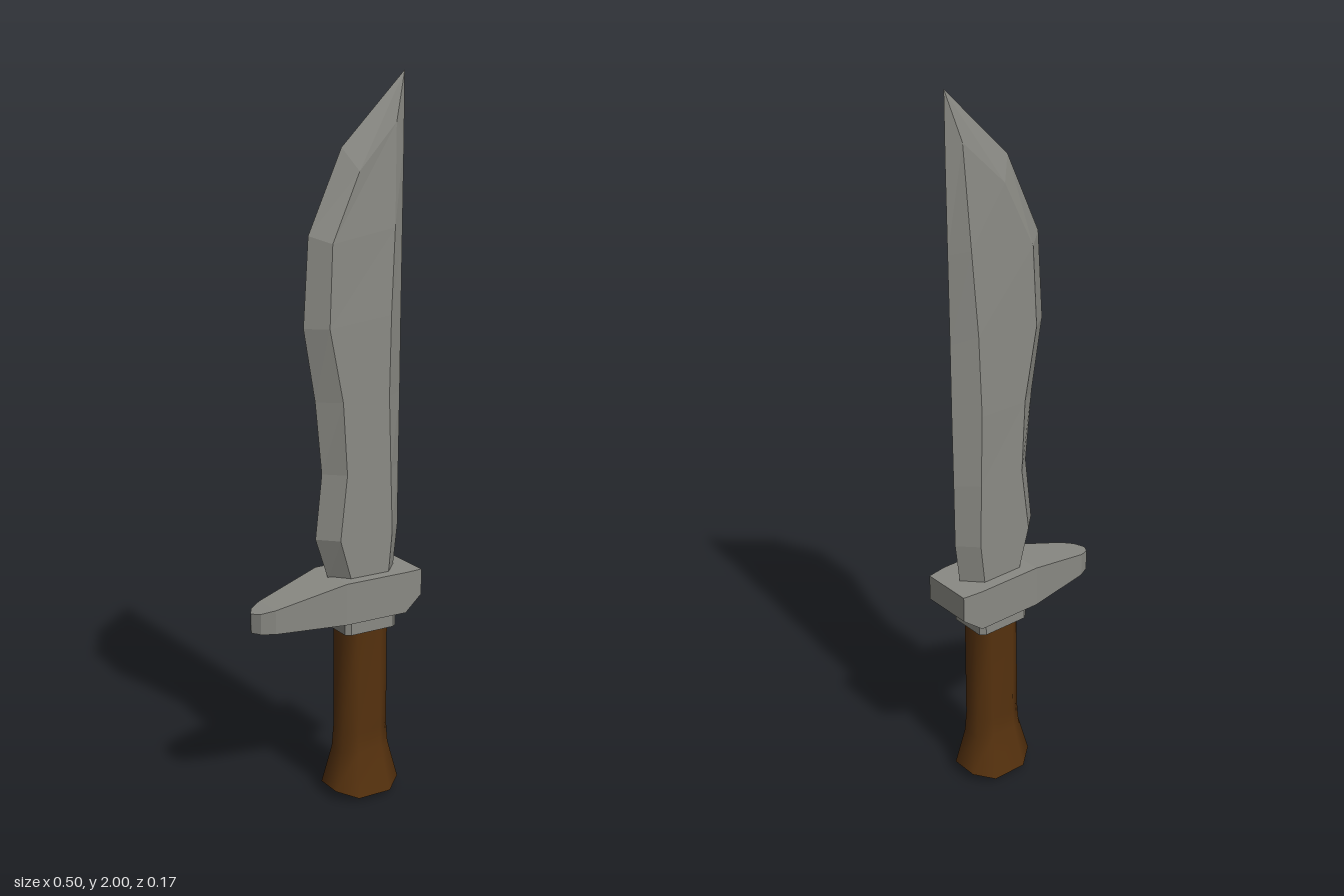
import * as THREE from 'three';

const steel = new THREE.MeshStandardMaterial({ color: 0x8a8a84 });
steel.name = 'steel';
const wood = new THREE.MeshStandardMaterial({ color: 0x55310e });
wood.name = 'brown wood';

// Skins equal-length rings of [x, y, z], counter-clockwise seen from the far end.
function loft(rings, { smooth = false, capStart = true, capEnd = true } = {}) {
  const n = rings[0].length;
  const index = [];
  for (let i = 0; i < rings.length - 1; i++) {
    for (let j = 0; j < n; j++) {
      const k = (j + 1) % n;
      const a = i * n + j, b = i * n + k, c = b + n, d = a + n;
      index.push(a, b, c, a, c, d);
    }
  }
  const last = (rings.length - 1) * n;
  for (let j = 1; j < n - 1; j++) {
    if (capStart) index.push(0, j + 1, j);
    if (capEnd) index.push(last, last + j, last + j + 1);
  }
  let geometry = new THREE.BufferGeometry();
  geometry.setAttribute('position', new THREE.Float32BufferAttribute(rings.flat(2), 3));
  geometry.setIndex(index);
  if (!smooth) geometry = geometry.toNonIndexed();
  geometry.computeVertexNormals();
  return geometry;
}

function part(name, geometry, material) {
  const mesh = new THREE.Mesh(geometry, material);
  mesh.name = name;
  return mesh;
}

const GRIP_X = 0.094;

// Chamfered rectangle around the grip axis; yAt gives the height of each corner.
function octagon(hx, hz, cut, yAt) {
  const a = hx * cut, b = hz * cut;
  return [[hx, b], [hx, -b], [a, -hz], [-a, -hz], [-hx, -b], [-hx, b], [-a, hz], [a, hz]]
    .map(([x, z]) => [GRIP_X + x, yAt(x / hx), z]);
}

function createBlade() {
  // Cutting edge, edge bevel, spine bevel and spine as [x, y], then half thickness at both bevels.
  const sections = [
    [[-0.01, 0.65], [0.035, 0.65], [0.153, 0.65], [0.2, 0.65], 0.05, 0.05],
    [[-0.05, 0.77], [0.0, 0.77], [0.165, 0.77], [0.214, 0.77], 0.049, 0.049],
    [[-0.03, 0.95], [0.022, 0.95], [0.16, 0.95], [0.215, 0.95], 0.047, 0.047],
    [[-0.05, 1.15], [0.01, 1.15], [0.154, 1.15], [0.217, 1.15], 0.045, 0.046],
    [[-0.085, 1.35], [-0.03, 1.35], [0.16, 1.37], [0.218, 1.35], 0.043, 0.043],
    [[-0.07, 1.59], [-0.02, 1.57], [0.174, 1.6], [0.22, 1.59], 0.04, 0.036],
    [[0.03, 1.81], [0.065, 1.75], [0.185, 1.87], [0.222, 1.82], 0.033, 0.021],
    [[0.222, 2], [0.222, 2], [0.222, 2], [0.222, 2], 0, 0],
  ];
  const rings = sections.map(([edge, bevel, back, spine, t, s]) => [
    [...spine, 0], [...back, -s], [...bevel, -t], [...edge, 0], [...bevel, t], [...back, s],
  ]);
  return part('blade', loft(rings, { capEnd: false }), steel);
}

function createGuard() {
  // x, half width, bottom, top
  const sections = [
    [-0.25, 0.003, 0.543, 0.597],
    [-0.235, 0.027, 0.543, 0.601],
    [-0.2, 0.045, 0.543, 0.61],
    [0.0, 0.083, 0.542, 0.659],
    [0.19, 0.083, 0.541, 0.658],
    [0.246, 0.075, 0.583, 0.656],
  ];
  const rings = sections.map(([x, w, low, high]) =>
    [[x, low, -w], [x, high, -w], [x, high, w], [x, low, w]]);
  return part('guard', loft(rings), steel);
}

function createCollar() {
  const rings = [0.5, 0.545].map((y) => octagon(0.082, 0.063, 0.82, () => y));
  return part('collar', loft(rings), steel);
}

function createHandle() {
  const handle = new THREE.Group();
  handle.name = 'handle';
  const rimY = (u) => 0.015 + 0.017 * Math.max(0, (Math.abs(u) - 0.5) * 2);
  const rim = octagon(0.102, 0.08, 0.5, rimY);

  // Grip flaring out at the bottom
  const rings = [
    rim,
    octagon(0.076, 0.055, 0.5, () => 0.14),
    octagon(0.072, 0.051, 0.5, () => 0.2),
    octagon(0.072, 0.05, 0.5, () => 0.51),
  ];
  handle.add(part('grip', loft(rings, { smooth: true, capStart: false, capEnd: false }), wood));

  // Shallow faceted butt
  const tip = rim.map(() => [GRIP_X, 0.004, 0]);
  handle.add(part('butt', loft([tip, rim], { capStart: false, capEnd: false }), wood));
  return handle;
}

export function createModel() {
  const model = new THREE.Group();
  model.name = 'knife';
  model.add(createBlade(), createGuard(), createCollar(), createHandle());
  return model;
}
